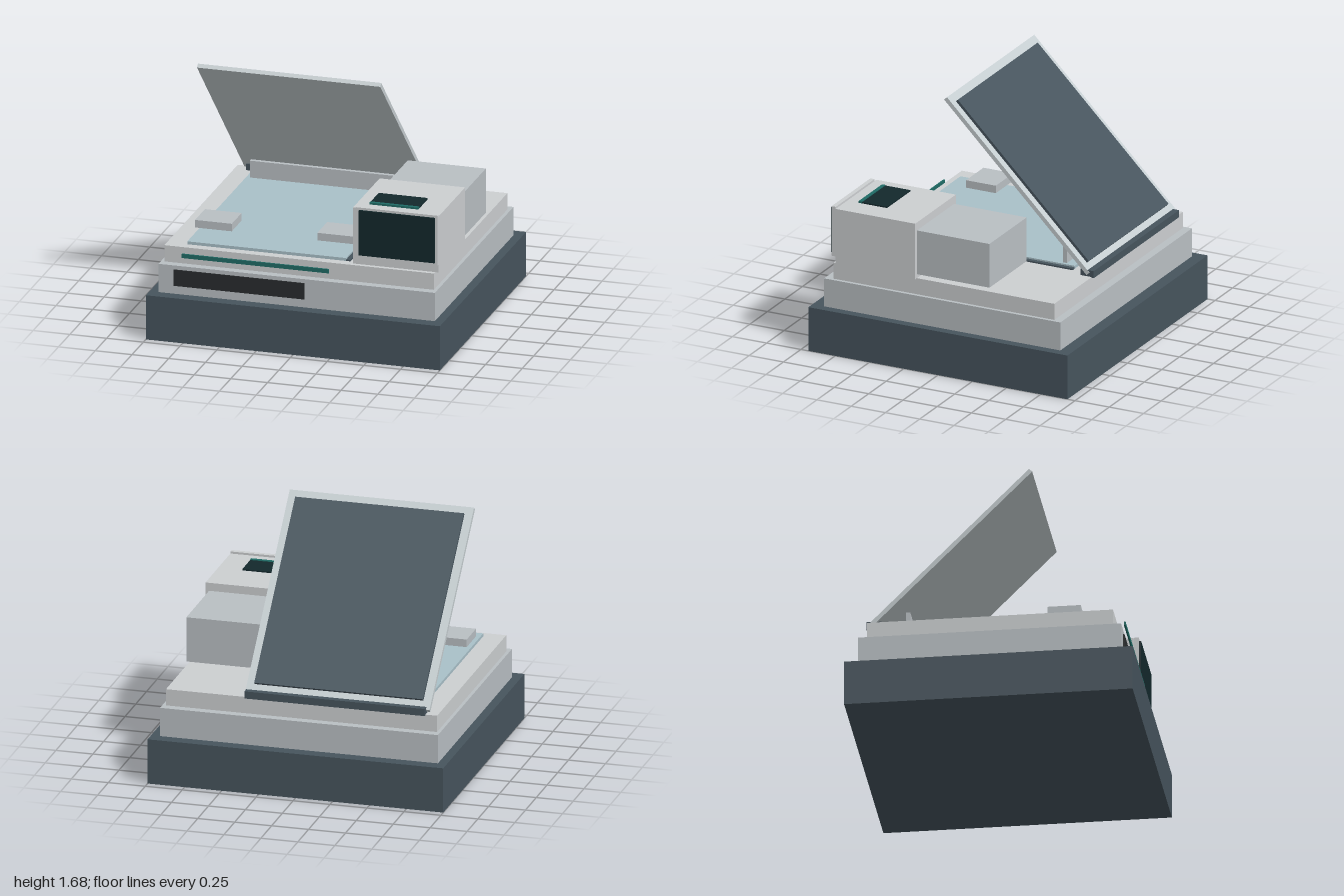
import * as THREE from 'three';

const mat = (color) => new THREE.MeshStandardMaterial({ color });

export function createModel() {
  const model = new THREE.Group();
  model.name = 'flatbedScanner';

  const slate = mat(0x46545d);
  const shell = mat(0xcccfd1);
  const trim = mat(0xb9bfc3);
  const lidGrey = mat(0xc5cdd0);
  const glass = mat(0xa9c0c8);
  const teal = mat(0x1f6b65);
  const screen = mat(0x13282c);
  const dark = mat(0x292c2e);

  // Box given by its [min, max] range on each axis
  const box = (name, material, x, y, z, parent = model) => {
    const geometry = new THREE.BoxGeometry(x[1] - x[0], y[1] - y[0], z[1] - z[0]);
    const mesh = new THREE.Mesh(geometry, material);
    mesh.position.set((x[0] + x[1]) / 2, (y[0] + y[1]) / 2, (z[0] + z[1]) / 2);
    mesh.name = name;
    parent.add(mesh);
    return mesh;
  };

  // Stepped body
  box('base', slate, [-1, 1], [0, 0.305], [-0.945, 0.945]);
  box('lowerBody', trim, [-0.94, 0.94], [0.305, 0.5], [-0.862, 0.862]);
  box('upperBody', shell, [-0.918, 0.916], [0.5, 0.612], [-0.806, 0.806]);

  // Front slot and light strip
  box('paperSlot', dark, [-0.835, 0.055], [0.362, 0.473], [0.856, 0.87]);
  box('lightStrip', teal, [-0.78, 0.22], [0.56, 0.588], [0.86, 0.87]);

  // Scanning bed with its side rail, guides and rear stop
  box('glassBed', glass, [-0.78, 0.3], [0.61, 0.632], [-0.64, 0.745]);
  box('bedRail', slate, [0.3, 0.33], [0.61, 0.622], [-0.64, 0.745]);
  box('rearStop', trim, [-0.755, 0.278], [0.632, 0.748], [-0.572, -0.543]);
  for (const x of [-0.78, 0.052]) {
    box('paperGuide', trim, [x, x + 0.25], [0.67, 0.722], [0.36, 0.577]);
  }

  // Lid propped open at 45 degrees on its hinge
  box('hingeBar', slate, [-0.838, 0.382], [0.606, 0.655], [-0.82, -0.723]);
  const lid = new THREE.Group();
  lid.name = 'lid';
  lid.position.set(0, 0.62, -0.77);
  lid.rotation.x = -Math.PI / 4;
  box('lidSlab', lidGrey, [-0.862, 0.385], [0, 0.029], [0, 1.47], lid);
  box('lidPanel', slate, [-0.808, 0.333], [0.029, 0.048], [0.063, 1.414], lid);
  model.add(lid);

  // Control tower: housing, rear box, bezel and screen
  box('towerHousing', shell, [0.358, 0.94], [0.612, 1.0], [0.197, 0.777]);
  box('towerRear', trim, [0.385, 0.916], [0.64, 0.945], [-0.333, 0.197]);
  box('screenBezel', shell, [0.385, 0.94], [0.668, 1.014], [0.777, 0.807]);
  box('frontScreen', screen, [0.408, 0.924], [0.688, 0.998], [0.807, 0.82]);

  // Top display with its teal front edge
  box('topDisplay', screen, [0.442, 0.775], [1.0, 1.009], [0.487, 0.668]);
  box('topDisplayStrip', teal, [0.442, 0.775], [1.0, 1.013], [0.668, 0.693]);

  return model;
}
